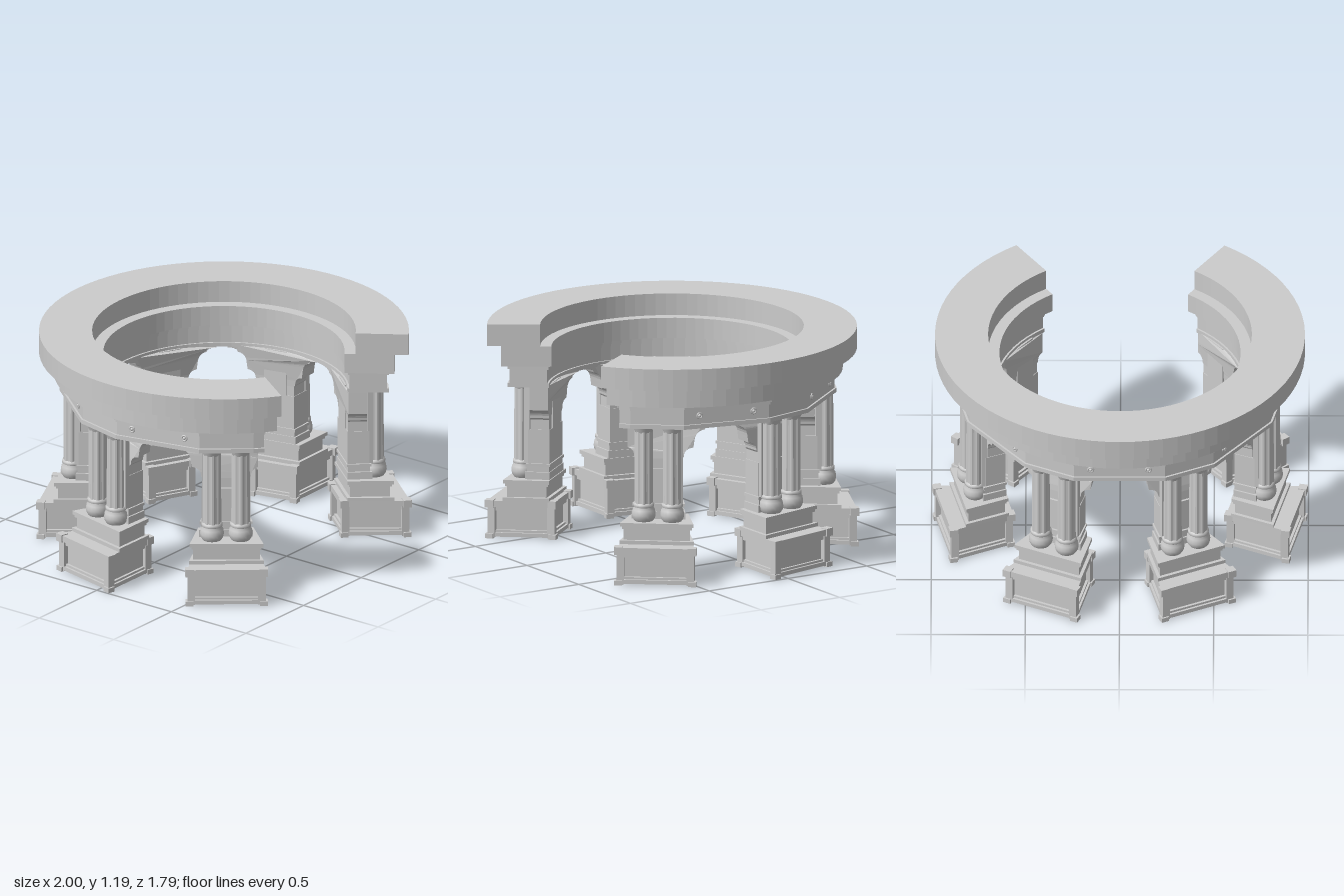
import * as THREE from 'three';

const MAT = new THREE.MeshStandardMaterial({ color: 0xcccccc, side: THREE.DoubleSide });
const FLAT = new THREE.MeshStandardMaterial({ color: 0xcccccc, flatShading: true });
const DEG = Math.PI / 180;
const STEP = 360 / 7;                 // seven bays, the front pier left out
const END = 145.8;                    // ring half sweep, measured from the back

function add(parent, name, geometry, material = MAT) {
  const mesh = new THREE.Mesh(geometry, material);
  mesh.name = name;
  parent.add(mesh);
  return mesh;
}

// Extrudes a plan shape (x, -z) upwards from y0 to y1
function rise(shape, y0, y1) {
  const g = new THREE.ExtrudeGeometry(shape, { depth: y1 - y0, bevelEnabled: false });
  return g.rotateX(-Math.PI / 2).translate(0, y0, 0);
}

// Open ring; angles are degrees from the back
function ring(rIn, rOut, y0, y1, outer, inner) {
  const at = (r) => (a) => new THREE.Vector2(r * Math.sin(a * DEG), r * Math.cos(a * DEG));
  return rise(new THREE.Shape([...outer.map(at(rOut)), ...[...inner].reverse().map(at(rIn))]), y0, y1);
}

function sweep(end, n) {
  return Array.from({ length: n + 1 }, (_, i) => -end + (2 * end * i) / n);
}

// Corners of a wedge-shaped plan that widens outwards
function wedgePoints(rIn, rOut, k, inset = 0) {
  const a = rIn + inset, b = rOut - inset;
  const wa = a * k - inset, wb = b * k - inset;
  return [[-wa, -a], [wa, -a], [wb, -b], [-wb, -b]].map(([x, y]) => new THREE.Vector2(x, y));
}

function wedge(rIn, rOut, k, y0, y1, inset = 0, wall = 0) {
  const shape = new THREE.Shape(wedgePoints(rIn, rOut, k, inset));
  if (wall) shape.holes.push(new THREE.Path(wedgePoints(rIn, rOut, k, inset + wall)));
  return rise(shape, y0, y1);
}

// Hollow panelled plinth with corner posts and bosses
function addPlinth(pier) {
  const g = new THREE.Group();
  g.name = 'plinth';
  pier.add(g);
  const size = [0.61, 0.965, 0.222];
  add(g, 'plinthPanels', wedge(...size, 0.01, 0.18, 0.03, 0.012));
  add(g, 'plinthBottomRail', wedge(...size, 0.008, 0.03, 0.004, 0.035));
  add(g, 'plinthInnerRail', wedge(...size, 0.03, 0.042, 0.016, 0.02));
  add(g, 'plinthTopRail', wedge(...size, 0.15, 0.172, 0.012, 0.03));
  add(g, 'plinthCap', wedge(...size, 0.172, 0.205, 0));
  for (const c of wedgePoints(...size, 0.022)) {
    add(g, 'plinthPost', new THREE.BoxGeometry(0.04, 0.17, 0.04)).position.set(c.x, 0.09, -c.y);
  }
  for (const c of wedgePoints(...size, 0.014)) {
    add(g, 'plinthFoot', new THREE.BoxGeometry(0.042, 0.026, 0.042)).position.set(c.x, 0.013, -c.y);
    add(g, 'plinthCapCorner', new THREE.BoxGeometry(0.046, 0.042, 0.046)).position.set(c.x, 0.189, -c.y);
  }
}

// Stepped pedestal above the plinth
function addPedestal(pier) {
  for (const [y0, y1, inset] of [[0.205, 0.225, -0.012], [0.225, 0.285, 0.006], [0.285, 0.3, -0.002], [0.3, 0.32, -0.01]]) {
    add(pier, 'pedestal', wedge(0.65, 0.87, 0.212, y0, y1, inset));
  }
}

// Fluted column with a bulbous foot
function addColumn(pier, x) {
  const col = new THREE.Group();
  col.name = 'column';
  col.position.set(x, 0, 0.805);
  pier.add(col);
  const foot = [[0.05, 0.32], [0.06, 0.335], [0.064, 0.355], [0.06, 0.38], [0.05, 0.395],
    [0.056, 0.398], [0.056, 0.412], [0.047, 0.418]].map((p) => new THREE.Vector2(...p));
  add(col, 'columnFoot', new THREE.LatheGeometry(foot, 20));
  const shaft = new THREE.CylinderGeometry(0.048, 0.05, 0.42, 32, 1, true);
  const p = shaft.attributes.position;
  for (let i = 0; i < p.count; i++) {
    const s = (i % 33) % 4 < 2 ? 1 : 0.91;
    p.setX(i, p.getX(i) * s);
    p.setZ(i, p.getZ(i) * s);
  }
  add(col, 'columnShaft', shaft, FLAT).position.y = 0.62;
  add(col, 'columnCapital', new THREE.CylinderGeometry(0.058, 0.046, 0.03, 20)).position.y = 0.82;
}

// Half arch outline: x is degrees from the pier axis
function archHalf() {
  const path = new THREE.Path();
  path.moveTo(9.4, 0.32);
  path.lineTo(9.4, 0.645);
  path.lineTo(10, 0.655);
  path.quadraticCurveTo(10, 0.7, 13.9, 0.706);
  path.lineTo(14.3, 0.74);
  path.quadraticCurveTo(14.6, 0.795, 18.5, 0.802);
  path.lineTo(19, 0.815);
  path.quadraticCurveTo(21, 0.826, 23.2, 0.826);
  path.lineTo(23.2, 0.84);
  return path.getPoints(6);
}

// Pier wall with lobed spandrels, bent around the ring
function addArchWall(pier, min, max) {
  const half = archHalf();
  const top = [18, 12, 6, 0, -6, -12, -18].map((a) => new THREE.Vector2(a, 0.84));
  const outline = [...half, ...top, ...half.map((v) => new THREE.Vector2(-v.x, v.y)).reverse()]
    .map((v) => new THREE.Vector2(THREE.MathUtils.clamp(v.x, min, max), v.y))
    .filter((v, i, all) => i === 0 || v.distanceTo(all[i - 1]) > 1e-4);
  const g = new THREE.ExtrudeGeometry(new THREE.Shape(outline), { depth: 0.1, bevelEnabled: false });
  const p = g.attributes.position;
  for (let i = 0; i < p.count; i++) {
    const a = p.getX(i) * DEG, r = 0.66 + p.getZ(i);
    p.setXYZ(i, r * Math.sin(a), p.getY(i), r * Math.cos(a));
  }
  g.computeVertexNormals();
  add(pier, 'archWall', g);
}

function createPier(angle) {
  const pier = new THREE.Group();
  pier.name = 'pier';
  pier.rotation.y = angle * DEG;
  addPlinth(pier);
  addPedestal(pier);
  // The two front piers have no arch on the open side
  addArchWall(pier, angle > 0 && angle < 60 ? -12.85 : -30, angle < 0 && angle > -60 ? 12.85 : 30);
  add(pier, 'wallBase', wedge(0.645, 0.775, 0.185, 0.32, 0.36));
  add(pier, 'wallBaseMoulding', wedge(0.645, 0.77, 0.178, 0.36, 0.4, 0.004));
  add(pier, 'wallBaseBead', wedge(0.642, 0.772, 0.182, 0.39, 0.405));
  add(pier, 'wallShaft', wedge(0.648, 0.762, 0.17, 0.4, 0.59));
  add(pier, 'innerPilaster', new THREE.BoxGeometry(0.13, 0.25, 0.03)).position.set(0, 0.715, 0.659);
  for (const s of [-1, 1]) {
    addColumn(pier, s * 0.076);
    add(pier, 'sidePilaster', new THREE.BoxGeometry(0.024, 0.43, 0.03)).position.set(s * 0.116, 0.62, 0.768);
  }
  return pier;
}

// Pair of round studs on the frieze of one bay
function createBayStuds(angle) {
  const bay = new THREE.Group();
  bay.name = 'bayStuds';
  bay.rotation.y = angle * DEG;
  for (const s of [-1, 1]) {
    add(bay, 'studRing', new THREE.TorusGeometry(0.014, 0.005, 6, 16)).position.set(s * 0.153, 0.9, 0.832);
    add(bay, 'studCentre', new THREE.SphereGeometry(0.009, 10, 8)).position.set(s * 0.153, 0.9, 0.832);
  }
  return bay;
}

export function createModel() {
  const model = new THREE.Group();
  model.name = 'ringColonnade';
  model.position.z = 0.08;

  // Piers and frieze studs
  for (let k = 1; k <= 6; k++) model.add(createPier(k <= 3 ? k * STEP : (k - 7) * STEP));
  for (let k = 1; k <= 5; k++) model.add(createBayStuds((k + 0.5) * STEP));

  // Faceted entablature: a short face over each pier, a long one over each bay
  const facets = [-142];
  for (let k = -2.5; k <= 2.5; k++) facets.push(k * STEP - 9.5, k * STEP + 9.5);
  facets.push(142);
  const inner = sweep(142, 56);
  for (const [name, rIn, rOut, y0, y1] of [
    ['architrave', 0.655, 0.875, 0.832, 0.855], ['frieze', 0.665, 0.864, 0.855, 0.93],
    ['friezeMoulding', 0.658, 0.876, 0.93, 0.945], ['friezeCornice', 0.65, 0.888, 0.945, 0.962]]) {
    add(model, name, ring(rIn, rOut, y0, y1, facets, inner));
  }

  // Round upper tiers
  const fine = sweep(END, 64);
  add(model, 'lowerTier', ring(0.64, 0.907, 0.96, 1.07, fine, fine));
  add(model, 'topSlab', ring(0.7, 0.982, 1.07, 1.188, fine, fine));
  return model;
}
